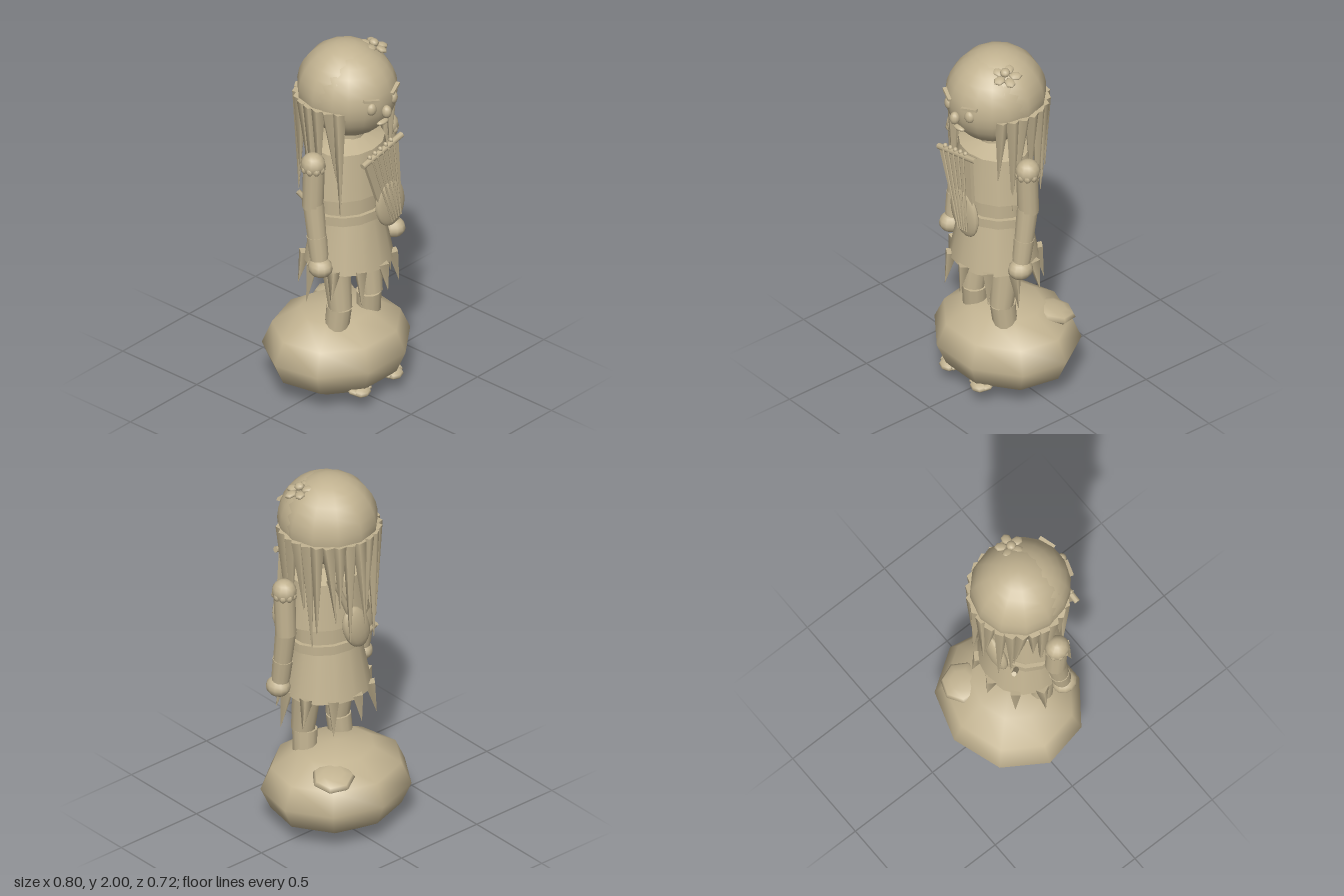
import * as THREE from 'three';

export function createModel() {
  const root = new THREE.Group();
  const clay = new THREE.MeshStandardMaterial({ color: 0xc2b391 });
  clay.name = 'clay';

  const add = (name, geo, pos = [0, 0, 0], rot = [0, 0, 0], scale = [1, 1, 1], parent = root) => {
    const m = new THREE.Mesh(geo, clay);
    m.name = name;
    m.position.set(...pos);
    m.rotation.set(...rot);
    m.scale.set(...scale);
    parent.add(m);
    return m;
  };
  const ball = (name, pos, radii, rot, seg = 12, parent = root) =>
    add(name, new THREE.SphereGeometry(1, seg, Math.max(6, seg - 4)), pos, rot, radii, parent);
  // Tapered limb between two points
  const limb = (name, a, b, ra, rb, seg = 12, parent = root, flat = 1) => {
    const A = new THREE.Vector3(...a), B = new THREE.Vector3(...b);
    const d = B.clone().sub(A);
    const m = add(name, new THREE.CylinderGeometry(rb, ra, d.length(), seg), [0, 0, 0], [0, 0, 0], [1, 1, flat], parent);
    m.position.copy(A).add(B).multiplyScalar(0.5);
    m.quaternion.setFromUnitVectors(new THREE.Vector3(0, 1, 0), d.normalize());
    return m;
  };
  // Oval tube section around the body axis
  const band = (name, y0, y1, r0, r1, sx, seg = 14) =>
    add(name, new THREE.CylinderGeometry(r1, r0, y1 - y0, seg), [0, (y0 + y1) / 2, 0.078], [0, 0, 0], [sx, 1, 1]);

  // Boulder with moss patch and small sprouts
  add('boulder', new THREE.SphereGeometry(1, 9, 6), [0, 0.24, 0], [0, -Math.PI / 2, 0], [0.36, 0.235, 0.405]);
  add('mossPatch', new THREE.SphereGeometry(1, 7, 6), [0.17, 0.395, -0.17], [-0.17, 0.3, -0.12], [0.115, 0.036, 0.11]);
  for (const s of [-1, 1]) {
    ball('sprout', [s * 0.122, 0.108, 0.275], [0.055, 0.024, 0.045], [0.25, 0, 0], 8);
    ball('sproutLeaf', [s * 0.165, 0.115, 0.255], [0.025, 0.016, 0.035], [0.2, 0, 0], 6);
    ball('sproutLeaf', [s * 0.075, 0.115, 0.265], [0.022, 0.016, 0.035], [0.2, 0, 0], 6);
  }

  // Legs
  for (const s of [-1, 1]) {
    limb('thigh', [s * 0.115, 0.535, 0.125], [s * 0.115, 0.85, 0.085], 0.062, 0.08);
    limb('shin', [s * 0.12, 0.41, 0.105], [s * 0.112, 0.535, 0.115], 0.062, 0.065);
  }

  // Body
  band('skirt', 0.775, 1.06, 0.222, 0.168, 1.06);
  band('belt', 1.05, 1.1, 0.186, 0.186, 1.18);
  band('waist', 1.08, 1.22, 0.165, 0.165, 1.2);
  band('tunic', 1.2, 1.45, 0.194, 0.166, 1.22);
  add('shoulders', new THREE.CylinderGeometry(0.07, 0.166, 0.04, 14), [0, 1.47, 0.078], [0, 0, 0], [1.22, 1, 1]);
  add('neck', new THREE.CylinderGeometry(0.075, 0.08, 0.16, 12), [0, 1.53, 0.08]);
  limb('beltPeg', [-0.14, 1.08, -0.07], [-0.17, 1.14, -0.11], 0.014, 0.014, 6);

  // Pointed hem fringe
  const fringe = 10;
  for (let i = 0; i < fringe; i++) {
    const a = ((i + 0.15) / fringe) * Math.PI * 2;
    const len = 0.14 + 0.06 * ((i * 7) % 5) / 4;
    const sx = Math.sin(a), cz = Math.cos(a);
    limb('hemSpike', [sx * 0.225, 0.795, 0.078 + cz * 0.215], [sx * 0.265, 0.79 - len, 0.078 + cz * 0.245], 0.036, 0.001, 4);
  }

  // Arms
  for (const s of [-1, 1]) {
    ball('shoulder', [s * 0.275, 1.42, 0.085], [0.062, 0.062, 0.065]);
    for (let i = 0; i < 9; i++) {
      const a = (i / 9) * Math.PI * 2;
      ball('sleeveScallop', [s * 0.275 + Math.cos(a) * 0.045, 1.4, 0.085 + Math.sin(a) * 0.048], [0.02, 0.024, 0.02], undefined, 7);
    }
    limb('upperArm', [s * 0.27, 1.17, 0.078], [s * 0.272, 1.42, 0.088], 0.055, 0.056);
    limb('forearm', [s * 0.268, 0.88, 0.12], [s * 0.268, 1.19, 0.08], 0.046, 0.055);
    limb('wristband', [s * 0.268, 0.9, 0.118], [s * 0.268, 1.01, 0.103], 0.049, 0.053);
    ball('hand', [s * 0.274, 0.838, 0.132], [0.06, 0.053, 0.067]);
  }

  // Head and face
  ball('head', [0, 1.747, 0.088], [0.242, 0.242, 0.242], undefined, 18);
  add('hairCap', new THREE.SphereGeometry(0.25, 12, 8, 0, Math.PI * 2, 0, Math.PI * 0.54), [0, 1.75, 0.058], [0, Math.PI / 6, 0]);
  add('hairCapBase', new THREE.CircleGeometry(0.248, 12), [0, 1.72, 0.058], [Math.PI / 2, 0, 0]);
  for (const s of [-1, 1]) {
    ball('eye', [s * 0.083, 1.742, 0.308], [0.027, 0.033, 0.02], [0, s * 0.35, 0]);
    add('brow', new THREE.BoxGeometry(0.09, 0.014, 0.02), [s * 0.088, 1.793, 0.312], [0, s * 0.35, s * 0.2]);
  }
  ball('nose', [0, 1.705, 0.335], [0.026, 0.035, 0.027]);
  ball('mouth', [0, 1.636, 0.306], [0.04, 0.013, 0.022]);

  // Hanging locks, from one temple round the back to the other
  const locks = 19;
  for (let i = 0; i < locks; i++) {
    const t = i / (locks - 1) * 2 - 1;
    const a = Math.PI + t * 2.17;
    const sx = Math.sin(a), cz = Math.cos(a);
    const len = 0.37 + 0.24 * ((i * 5) % 7) / 6;
    const drift = 0.025 * Math.sin(i * 2.3);
    const inward = 0.24 - 0.03 * Math.abs(sx);
    limb('hairLock', [sx * 0.235, 1.725, 0.058 + cz * 0.232],
      [sx * inward + cz * drift, 1.725 - len, 0.058 + cz * 0.25 - sx * drift], 0.038, 0.002, 5);
  }

  // Flower in the hair
  const flower = new THREE.Group();
  flower.name = 'flower';
  flower.position.set(0.148, 1.945, 0.12);
  flower.rotation.set(0.15, 0, -0.25);
  root.add(flower);
  for (let i = 0; i < 5; i++) {
    const a = (i / 5) * Math.PI * 2 + 0.3;
    ball('petal', [Math.cos(a) * 0.046, 0, Math.sin(a) * 0.046], [0.034, 0.014, 0.028], [0, -a, 0], 6, flower);
  }
  ball('flowerHeart', [-0.012, 0.018, 0], [0.026, 0.02, 0.026], undefined, 10, flower);

  // Lyre held in front of the chest
  const lyre = new THREE.Group();
  lyre.name = 'lyre';
  lyre.position.set(0.05, 1.148, 0.312);
  lyre.rotation.z = 0.21;
  root.add(lyre);
  ball('lyreBowl', [0, 0, 0], [0.105, 0.138, 0.028], undefined, 16, lyre);
  const frame = new THREE.Shape([[-0.085, 0.05], [0.085, 0.05], [0.125, 0.325], [-0.125, 0.325]].map(p => new THREE.Vector2(...p)));
  add('lyreFrame', new THREE.ExtrudeGeometry(frame, { depth: 0.02, bevelEnabled: false }), [0, 0, -0.01], undefined, undefined, lyre);
  limb('lyreCrossbar', [-0.14, 0.33, 0], [0.16, 0.33, 0], 0.016, 0.016, 8, lyre);
  for (let i = -2; i <= 2; i++) {
    limb('lyreString', [i * 0.017, -0.09, 0.029], [i * 0.041, 0.33, 0.017], 0.005, 0.005, 5, lyre);
    ball('lyrePeg', [i * 0.041, 0.348, 0], [0.012, 0.014, 0.014], undefined, 7, lyre);
  }

  // Lute slung on the back
  ball('luteBowl', [-0.03, 1.18, -0.115], [0.08, 0.13, 0.038], [0, 0, -0.35], 14);
  limb('luteNeck', [0.01, 1.26, -0.12], [0.11, 1.5, -0.115], 0.018, 0.016, 8);
  limb('luteHead', [0.08, 1.52, -0.115], [0.15, 1.5, -0.115], 0.02, 0.02, 8);

  return root;
}
